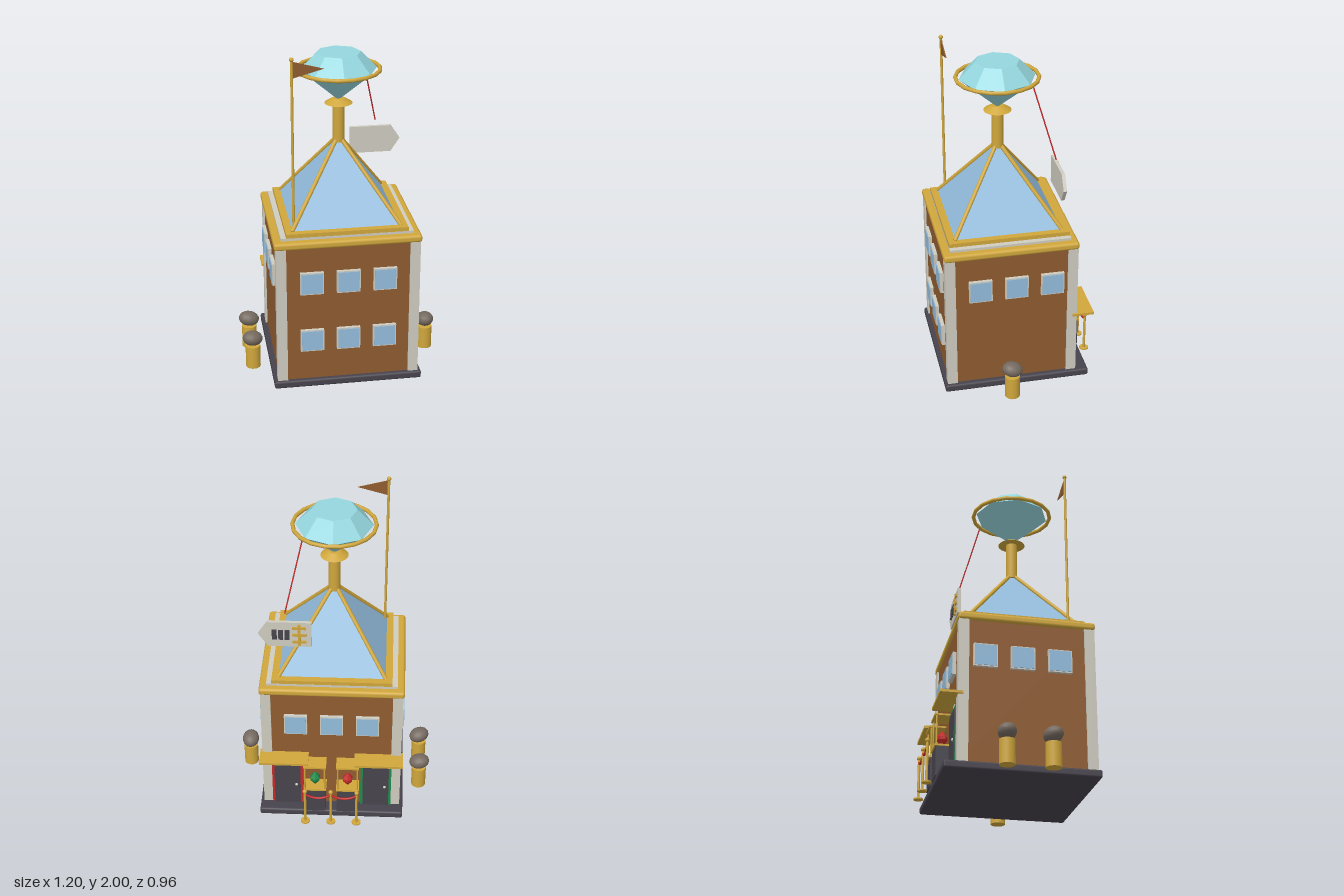
import * as THREE from 'three';
import { RoundedBoxGeometry } from 'three/addons/geometries/RoundedBoxGeometry.js';

const mat = (name, color) => Object.assign(new THREE.MeshStandardMaterial({ color }), { name });

export function createModel() {
  const root = new THREE.Group();
  root.name = 'gemShop';
  const brown = mat('brown wall', 0x8f5c30);
  const gold = mat('gold trim', 0xd0a73c);
  const dark = mat('charcoal', 0x47434d);
  const cream = mat('pale stone', 0xcfccc0);
  const glass = mat('blue glass', 0x93bcdc);
  const crystal = mat('aqua crystal', 0x95d6de);
  const rock = mat('grey rock', 0x756a60);
  const red = mat('red', 0xc42a2a);
  const green = mat('green', 0x1f8a4c);

  const CX = 0.004, CZ = 0.065; // centre of the building

  const add = (name, geo, m, x = 0, y = 0, z = 0, parent = root) => {
    const mesh = new THREE.Mesh(geo, m);
    mesh.name = name;
    mesh.position.set(x, y, z);
    parent.add(mesh);
    return mesh;
  };
  // box given by its bottom and top heights
  const slab = (name, m, w, d, y0, y1, x, z, r = 0) => {
    const h = y1 - y0;
    const geo = r ? new RoundedBoxGeometry(w, h, d, 2, r) : new THREE.BoxGeometry(w, h, d);
    return add(name, geo, m, x, (y0 + y1) / 2, z);
  };
  const facet = (geo) => {
    const g = geo.toNonIndexed();
    g.computeVertexNormals();
    return g;
  };
  const rod = (name, m, a, b, r) => {
    const p = new THREE.Vector3(...a), q = new THREE.Vector3(...b);
    const d = q.clone().sub(p);
    const mesh = add(name, new THREE.CylinderGeometry(r, r, d.length(), 10), m);
    mesh.position.copy(p).add(q).multiplyScalar(0.5);
    mesh.quaternion.setFromUnitVectors(new THREE.Vector3(0, 1, 0), d.normalize());
    return mesh;
  };
  const plate = (name, m, points, depth, z) => {
    const shape = new THREE.Shape(points.map(([x, y]) => new THREE.Vector2(x, y)));
    return add(name, new THREE.ExtrudeGeometry(shape, { depth, bevelEnabled: false }), m, 0, 0, z);
  };

  // Base, walls, corner pillars
  slab('base', dark, 0.885, 0.883, 0, 0.046, CX, 0.035, 0.012);
  slab('walls', brown, 0.82, 0.77, 0.046, 0.9, CX, CZ);
  for (const sx of [-1, 1]) for (const sz of [-1, 1])
    slab('cornerPillar', cream, 0.06, 0.06, 0.046, 0.9, CX + sx * 0.392, CZ + sz * 0.365);

  // Stepped cornice
  slab('cornice', gold, 0.862, 0.8, 0.896, 0.941, CX, CZ, 0.016);
  slab('paleStep', cream, 0.775, 0.715, 0.94, 0.956, CX, CZ);
  slab('goldStep', gold, 0.712, 0.714, 0.955, 0.98, CX, CZ);

  // Glass pyramid roof with gold ridges
  const pyramid = new THREE.CylinderGeometry(0.012, 0.315 * Math.SQRT2, 0.44, 4, 1, false, Math.PI / 4);
  add('pyramidRoof', facet(pyramid), glass, CX, 1.2, CZ);
  for (const sx of [-1, 1]) for (const sz of [-1, 1])
    rod('roofRidge', gold, [CX + sx * 0.316, 0.98, CZ + sz * 0.316], [CX + sx * 0.018, 1.41, CZ + sz * 0.018], 0.012);

  // Column, collar and large crystal with its ring
  add('column', new THREE.CylinderGeometry(0.035, 0.035, 0.24, 20), gold, CX, 1.52, CZ);
  add('collar', new THREE.CylinderGeometry(0.035, 0.082, 0.03, 20), gold, CX, 1.65, CZ);
  const girdle = 1.84;
  add('crystalPavilion', facet(new THREE.CylinderGeometry(0.224, 0.004, girdle - 1.655, 8, 1, true)),
    crystal, CX, (girdle + 1.655) / 2, CZ);
  add('crystalCrown', facet(new THREE.CylinderGeometry(0.13, 0.224, 0.098, 8)), crystal, CX, girdle + 0.049, CZ);
  const ring = new THREE.TorusGeometry(0.24, 0.012, 8, 18);
  ring.rotateX(Math.PI / 2);
  add('crystalRing', ring, gold, CX, girdle, CZ);

  // Flagpole and pennant
  rod('flagpole', gold, [-0.298, 0.96, 0.337], [-0.298, 1.985, 0.337], 0.008);
  add('flagpoleBall', new THREE.SphereGeometry(0.013, 12, 8), gold, -0.298, 1.987, 0.337);
  plate('pennant', brown, [[-0.294, 1.88], [-0.12, 1.928], [-0.294, 1.975]], 0.006, 0.334);

  // Hanging tag and its cord
  plate('tag', cream, [[0.122, 1.202], [0.375, 1.202], [0.43, 1.286], [0.375, 1.37], [0.122, 1.37]], 0.02, -0.25);
  for (let i = 0; i < 3; i++)
    add('tagDarkPanel', new THREE.BoxGeometry(0.028, 0.065, 0.009), dark, 0.262 + i * 0.037, 1.286, -0.2535);
  for (const y of [1.238, 1.286, 1.334])
    add('tagGoldBar', new THREE.BoxGeometry(0.08, 0.016, 0.009), gold, 0.192, y, -0.2535);
  add('tagGoldUpright', new THREE.BoxGeometry(0.016, 0.145, 0.009), gold, 0.192, 1.286, -0.2545);
  rod('tagCord', red, [0.178, 1.83, -0.108], [0.275, 1.415, -0.222], 0.004);

  // Windows: a pale frame with a raised pane
  const windowAt = (x, y, z, turn) => {
    const g = new THREE.Group();
    g.name = 'window';
    g.position.set(x, y, z);
    g.rotation.y = turn;
    add('windowFrame', new THREE.BoxGeometry(0.138, 0.138, 0.03), cream, 0, 0, 0, g);
    add('windowPane', new THREE.BoxGeometry(0.124, 0.124, 0.009), glass, 0, 0, 0.0145, g);
    root.add(g);
  };
  for (const i of [-1, 0, 1]) {
    const s = i * 0.215;
    windowAt(CX + s, 0.68, 0.455, 0);
    windowAt(CX + s, 0.308, 0.455, 0);
    windowAt(CX + s, 0.68, -0.325, Math.PI);
    windowAt(0.419, 0.68, 0.038 + s, Math.PI / 2);
    windowAt(-0.411, 0.68, 0.038 + s, -Math.PI / 2);
  }

  // Back: doors, awnings and gem stalls
  for (const side of [-1, 1]) {
    const accent = side > 0 ? red : green;
    const dx = CX + side * 0.272;
    slab('doorFrame', accent, 0.19, 0.02, 0.046, 0.395, dx, -0.324);
    slab('door', dark, 0.16, 0.02, 0.046, 0.375, dx, -0.329);
    add('doorKnob', new THREE.SphereGeometry(0.009, 10, 8), cream, dx - 0.055, 0.2, -0.341);
    slab('doorPlaque', cream, 0.04, 0.008, 0.405, 0.425, dx, -0.324);
    slab('awning', gold, 0.296, 0.13, 0.437, 0.452, CX + side * 0.287, -0.367);

    const kx = CX + side * 0.1;
    slab('stallCounter', dark, 0.13, 0.09, 0.046, 0.221, kx, -0.363);
    slab('stallTop', gold, 0.14, 0.1, 0.22, 0.231, kx, -0.366);
    slab('stallRoof', gold, 0.14, 0.1, 0.403, 0.414, kx, -0.368);
    for (const p of [-1, 1])
      rod('stallPost', gold, [kx + p * 0.06, 0.22, -0.405], [kx + p * 0.06, 0.41, -0.405], 0.005);
    const gem = new THREE.LatheGeometry([[0.001, -0.05], [0.032, -0.008], [0.032, 0.01], [0.001, 0.05]]
      .map(([x, y]) => new THREE.Vector2(x, y)), 6);
    add('stallGem', facet(gem), side > 0 ? green : red, kx, 0.283, -0.365);
  }

  // Rope barrier
  const postX = [-0.154, 0.004, 0.162], ropeZ = -0.455;
  for (const x of postX) {
    add('barrierFoot', new THREE.CylinderGeometry(0.028, 0.028, 0.008, 20), gold, x, 0.004, ropeZ);
    rod('barrierPost', gold, [x, 0, ropeZ], [x, 0.245, ropeZ], 0.008);
    add('barrierBall', new THREE.SphereGeometry(0.014, 12, 8), gold, x, 0.25, ropeZ);
  }
  for (let i = 0; i < 2; i++) {
    const curve = new THREE.QuadraticBezierCurve3(
      new THREE.Vector3(postX[i], 0.225, ropeZ),
      new THREE.Vector3((postX[i] + postX[i + 1]) / 2, 0.17, ropeZ),
      new THREE.Vector3(postX[i + 1], 0.225, ropeZ));
    add('barrierRope', new THREE.TubeGeometry(curve, 12, 0.007, 8), red);
  }

  // Pedestals carrying rough stones: x, z, turn, tilt
  for (const [x, z, turn, tilt] of [[-0.54, -0.08, 0, -0.2], [-0.54, 0.175, 0.4, -0.2], [0.548, 0.09, 1.57, -0.25]]) {
    add('pedestal', new THREE.CylinderGeometry(0.045, 0.045, 0.142, 20), gold, x, 0.071, z);
    const stone = add('stone', new THREE.SphereGeometry(1, 14, 10), rock, x, 0.189, z);
    stone.scale.set(0.064, 0.045, 0.053);
    stone.rotation.set(0, turn, tilt, 'YXZ');
  }
  return root;
}
